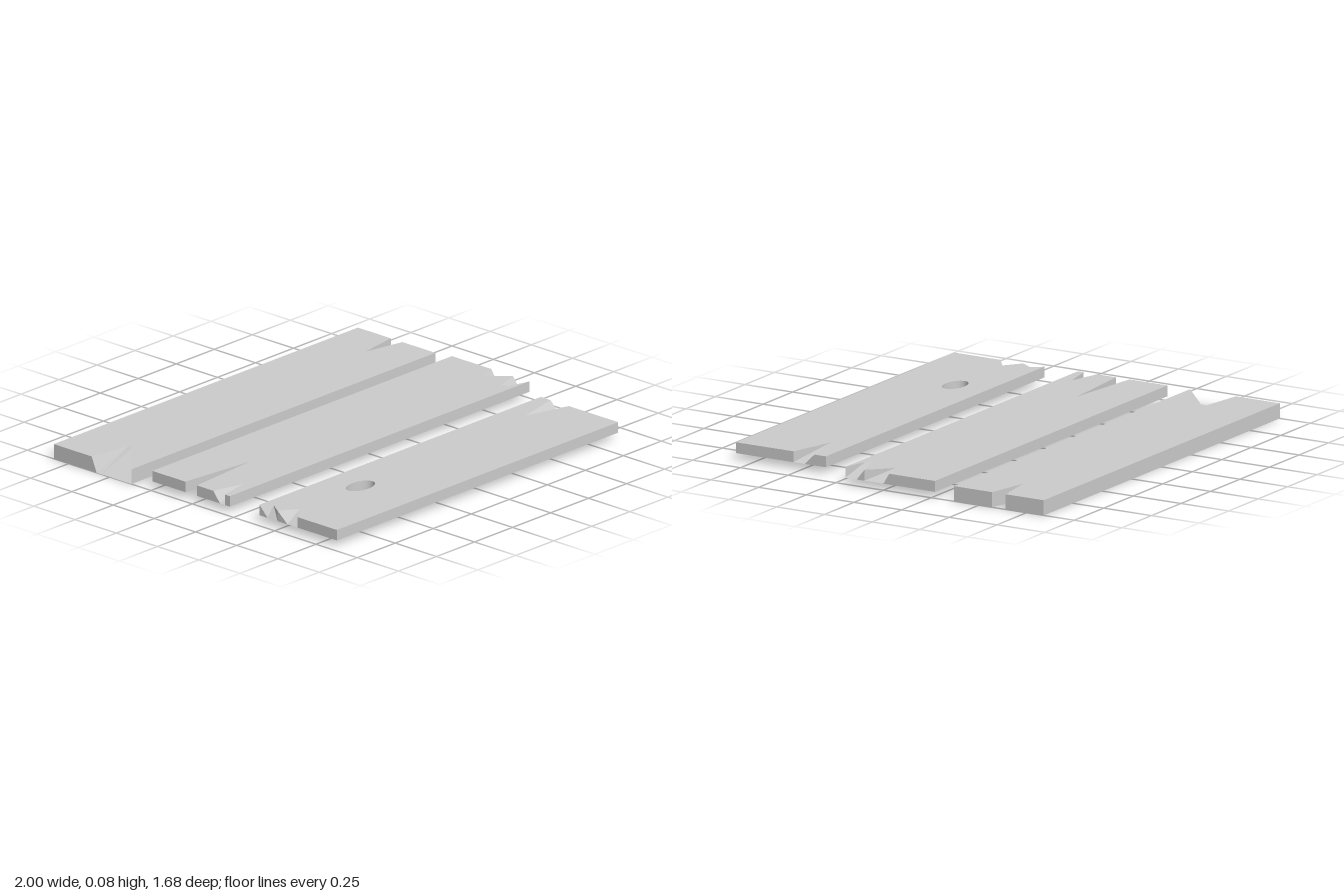
import * as THREE from 'three';

const material = new THREE.MeshStandardMaterial({ color: 0xcccccc, flatShading: true });

// Plank between y0 and y1. Outline points are [x, z, bottomX]: where bottomX
// differs from x the top edge is chipped while the underside stays whole.
function plank(name, y0, y1, outline, holes = []) {
  const loops = [outline, ...holes];
  const all = loops.flat();
  const top = all.map(([x, z]) => [x, y1, z]);
  const bottom = all.map(([x, z, bx = x]) => [bx, y0, z]);
  const positions = [];
  const tri = (...corners) => corners.forEach((p) => positions.push(...p));

  // Top and underside
  const flat = (pts) => pts.map((p) => new THREE.Vector2(p[0], p[2]));
  const cap = (pts) => {
    let start = 0;
    const [outer, ...inner] = loops.map((loop) => {
      const part = flat(pts.slice(start, start + loop.length));
      start += loop.length;
      return part;
    });
    return THREE.ShapeUtils.triangulateShape(outer, inner);
  };
  cap(top).forEach(([a, b, c]) => tri(top[c], top[b], top[a]));
  cap(bottom).forEach(([a, b, c]) => tri(bottom[a], bottom[b], bottom[c]));

  // Edges, notches and hole walls
  let start = 0;
  for (const loop of loops) {
    for (let k = 0; k < loop.length; k++) {
      const i = start + k;
      const j = start + ((k + 1) % loop.length);
      if (all[i][1] <= all[j][1]) {
        tri(top[i], top[j], bottom[j]);
        tri(top[i], bottom[j], bottom[i]);
      } else {
        tri(top[i], top[j], bottom[i]);
        tri(top[j], bottom[j], bottom[i]);
      }
    }
    start += loop.length;
  }

  const geometry = new THREE.BufferGeometry();
  geometry.setAttribute('position', new THREE.Float32BufferAttribute(positions, 3));
  geometry.computeVertexNormals();
  const mesh = new THREE.Mesh(geometry, material);
  mesh.name = name;
  return mesh;
}

// Oval knot hole, wound against the outline
function ovalHole(cx, cz, rx, rz, segments = 32) {
  return Array.from({ length: segments }, (_, i) => {
    const a = (-i / segments) * Math.PI * 2;
    return [cx + rx * Math.cos(a), cz + rz * Math.sin(a)];
  });
}

export function createModel() {
  const group = new THREE.Group();
  group.name = 'brokenPlanks';

  group.add(
    plank('backPlank', 0, 0.07, [
      // left end: split through the full thickness
      [1, -0.84], [1, -0.64], [0.8, -0.61], [1, -0.57], [1, -0.37],
      // right end: wide chip
      [-1, -0.37], [-0.8, -0.55, -1], [-0.79, -0.58, -1], [-1, -0.61], [-1, -0.84],
    ]),
    plank('middlePlank', 0.03, 0.08, [
      // left end: two chips
      [1, -0.27], [1, -0.03], [0.9, 0, 1], [1, 0.1],
      [0.88, 0.14, 1], [0.88, 0.17, 1], [1, 0.2],
      // right end: small chip and long split
      [-0.97, 0.2], [-0.97, 0.17], [-0.82, 0.14, -0.97], [-0.97, 0.1],
      [-0.97, 0], [-0.59, -0.03], [-0.97, -0.07], [-0.97, -0.27],
    ]),
    plank('frontPlank', 0.03, 0.08, [
      // left end: one chip
      [0.89, 0.37], [0.89, 0.43], [0.67, 0.48, 0.89], [0.89, 0.54], [0.89, 0.84],
      // right end: two small chips
      [-0.96, 0.84], [-0.96, 0.6], [-0.88, 0.54, -0.96],
      [-0.96, 0.48], [-0.92, 0.42, -0.96], [-0.96, 0.37],
    ], [ovalHole(-0.48, 0.54, 0.08, 0.05)]),
  );
  return group;
}
